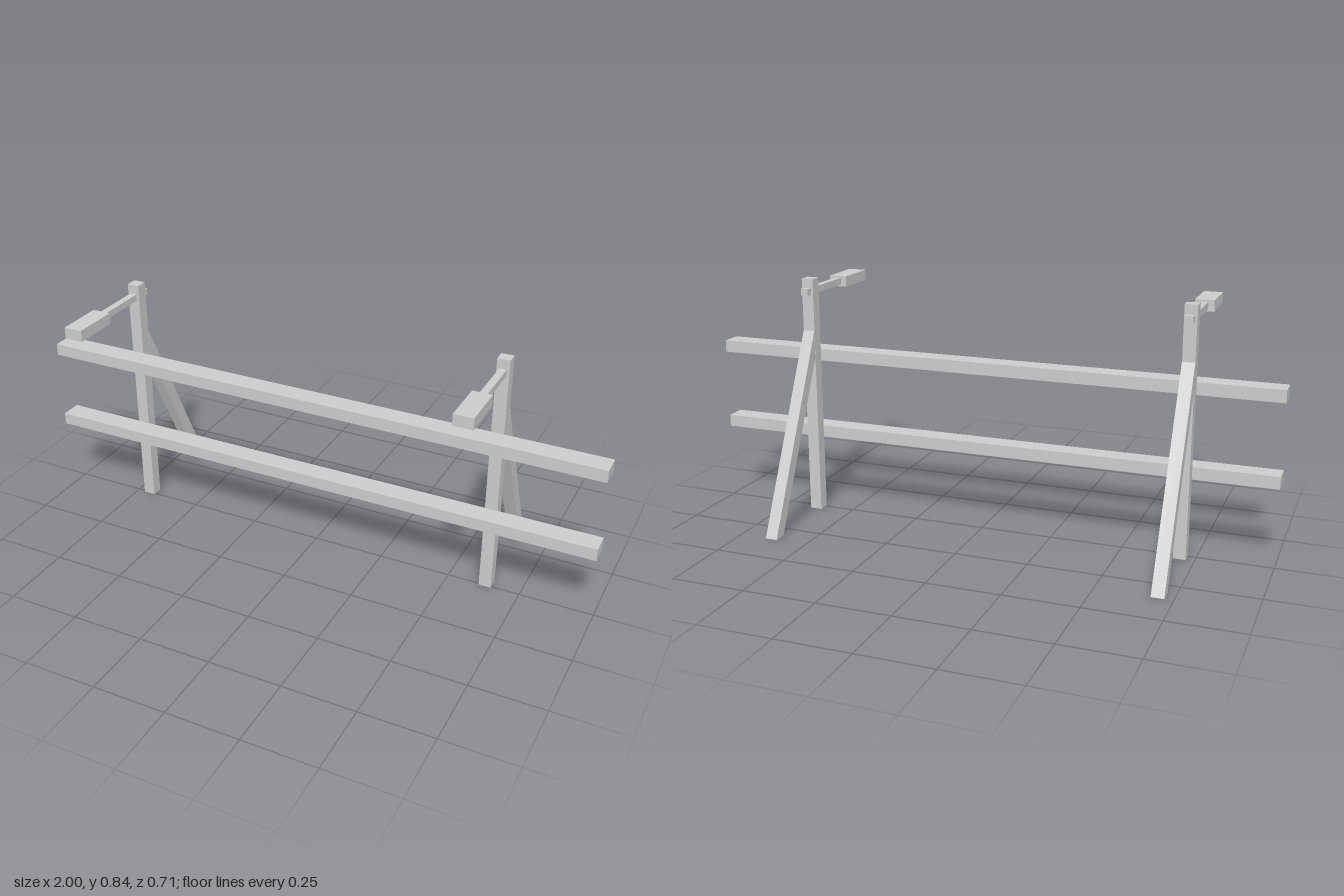
import * as THREE from 'three';

const mat = new THREE.MeshStandardMaterial({ color: 0xcccccc, flatShading: true });

// box given by its [min, max] extents on each axis
function box(name, [x0, x1], [y0, y1], [z0, z1]) {
  const mesh = new THREE.Mesh(new THREE.BoxGeometry(x1 - x0, y1 - y0, z1 - z0), mat);
  mesh.position.set((x0 + x1) / 2, (y0 + y1) / 2, (z0 + z1) / 2);
  mesh.name = name;
  return mesh;
}

// slanted rear support, cut flush with the post and the ground
function brace(width) {
  const profile = [[0.035, 0.565], [0.308, 0], [0.354, 0], [0.035, 0.66]];
  const shape = new THREE.Shape(profile.map(([z, y]) => new THREE.Vector2(z, y)));
  const geo = new THREE.ExtrudeGeometry(shape, { depth: width, bevelEnabled: false });
  geo.translate(0, 0, -width / 2);
  geo.rotateY(Math.PI / 2); // profile x becomes -z
  const mesh = new THREE.Mesh(geo, mat);
  mesh.name = 'brace';
  return mesh;
}

// post with its brace and overhanging lamp
function support(x) {
  const g = new THREE.Group();
  g.name = 'support';
  g.position.x = x;
  const w = 0.021;
  g.add(box('post', [-w, w], [0, 0.842], [-0.034, 0.007]));
  g.add(brace(2 * w));
  g.add(box('lampArm', [-0.012, 0.012], [0.787, 0.81], [0, 0.2]));
  g.add(box('armEnd', [-0.013, 0.013], [0.787, 0.81], [-0.057, -0.03]));
  g.add(box('lampHead', [-0.032, 0.032], [0.779, 0.817], [0.195, 0.355]));
  return g;
}

export function createModel() {
  const model = new THREE.Group();
  model.name = 'barrier';
  for (const x of [-0.7, 0.632]) model.add(support(x));
  model.add(box('lowerRail', [-1, 1], [0.264, 0.306], [0.006, 0.08]));
  model.add(box('upperRail', [-1, 1], [0.546, 0.588], [0.006, 0.08]));
  return model;
}
